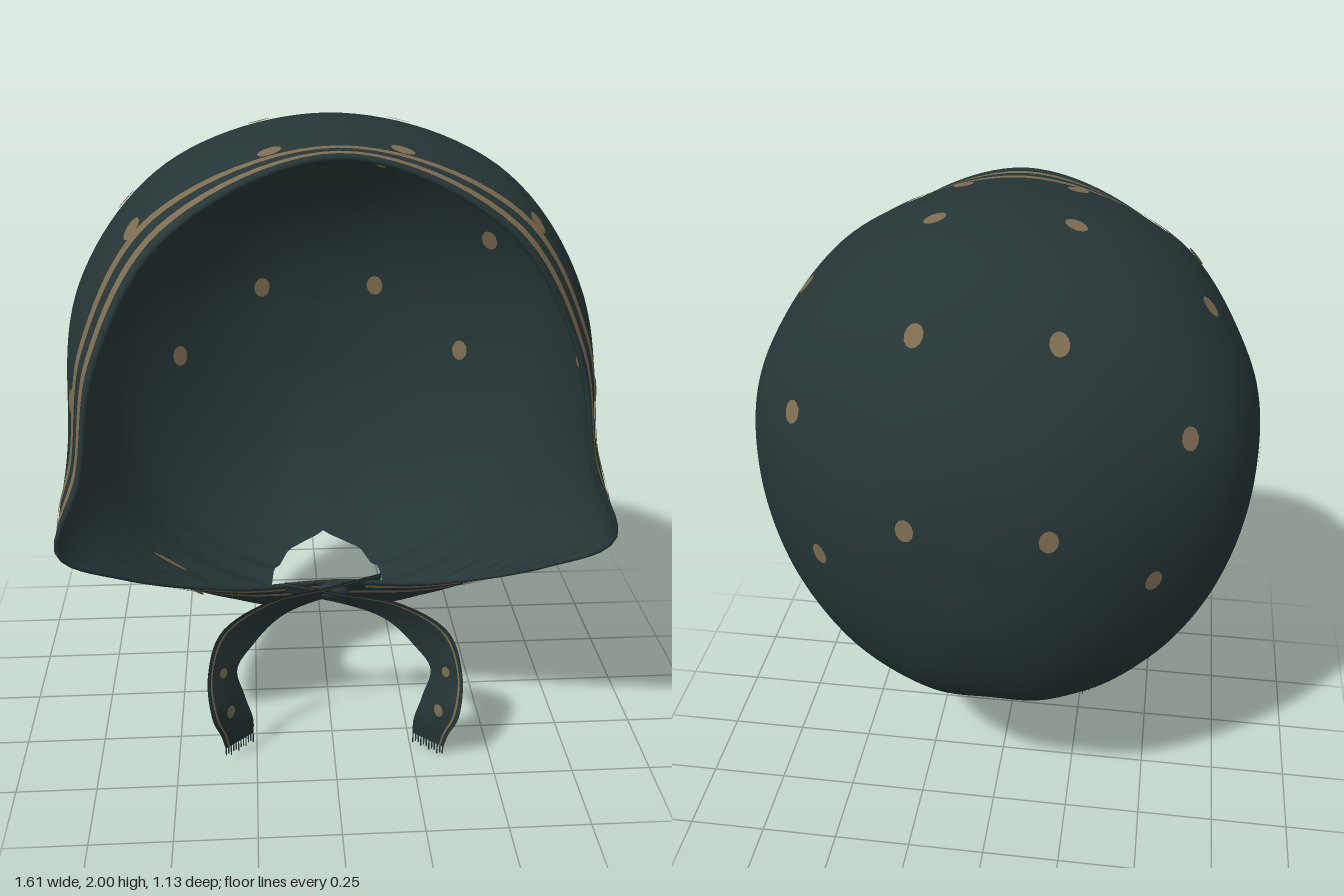
import * as THREE from 'three';
import { mergeVertices } from 'three/addons/utils/BufferGeometryUtils.js';

const V = (x, y, z) => new THREE.Vector3(x, y, z);

// Half outlines of the cloth from the face opening to the back, each from chin to crown
const RINGS = [
  [[0, .59, .28], [.3, .61, .34], [.62, .74, .48], [.79, .87, .56], [.72, 1.08, .54], [.66, 1.4, .52], [.45, 1.76, .52], [0, 1.96, .52]],
  [[0, .52, .24], [.28, .54, .27], [.6, .68, .36], [.79, .86, .4], [.76, 1.12, .38], [.71, 1.45, .38], [.5, 1.8, .38], [0, 1.97, .38]],
  [[0, .45, .15], [.2, .45, .15], [.55, .62, .15], [.72, .85, .12], [.78, 1.2, .1], [.73, 1.53, .1], [.47, 1.86, .1], [0, 2, .13]],
  [[0, .44, -.18], [.2, .45, -.18], [.45, .6, -.2], [.63, .86, -.2], [.71, 1.22, -.2], [.66, 1.53, -.2], [.4, 1.81, -.2], [0, 1.92, -.2]],
  [[0, .6, -.39], [.15, .62, -.4], [.28, .74, -.42], [.4, .95, -.43], [.46, 1.22, -.43], [.42, 1.42, -.43], [.25, 1.6, -.44], [0, 1.66, -.44]],
].map((half) => {
  const left = half.map((p) => V(...p));
  const right = half.slice(1, 7).reverse().map(([x, y, z]) => V(-x, y, z));
  return new THREE.CatmullRomCurve3([...left, ...right], true);
});
const POLE = V(0, 1.24, -.565);

// Point on the cloth: u = 0 at the opening to 6 at the back, k = 0..1 around from the chin
function clothPoint(u, k) {
  const open = u > 1.2 && u < 3.3 ? Math.sqrt(Math.sin(Math.PI * (u - 1.2) / 2.1)) : 0; // neck hole
  const t = open + (14 - 2 * open) * k;
  const ps = RINGS.map((r) => r.getPoint((t / 14) % 1));
  const inner = POLE.clone().lerp(ps[4], .5);
  inner.z = -.535;
  const p = new THREE.CatmullRomCurve3([...ps, inner, POLE]).getPoint(Math.min(u / 6, 1));
  const fromChin = Math.min(t, 14 - t); // gathered pleats around the neck
  p.y += .014 * open * Math.exp(-((fromChin - 1) ** 2)) * Math.sin(u * 17);
  return p;
}

// Grid surface from a point rule, optionally lifted along its normals
function sheet(fn, m, n, lift = 0) {
  const pos = [], index = [];
  for (let i = 0; i <= m; i++) for (let j = 0; j <= n; j++) pos.push(...fn(i / m, j / n).toArray());
  for (let i = 0; i < m; i++) for (let j = 0; j < n; j++) {
    const a = i * (n + 1) + j, b = a + n + 1;
    index.push(a, b, a + 1, b, b + 1, a + 1);
  }
  let g = new THREE.BufferGeometry();
  g.setAttribute('position', new THREE.Float32BufferAttribute(pos, 3));
  g.setIndex(index);
  g = mergeVertices(g, 1e-5);
  g.computeVertexNormals();
  if (lift) {
    const p = g.attributes.position, nn = g.attributes.normal;
    for (let i = 0; i < p.count; i++) {
      p.setXYZ(i, p.getX(i) + nn.getX(i) * lift, p.getY(i) + nn.getY(i) * lift, p.getZ(i) + nn.getZ(i) * lift);
    }
  }
  return g;
}

// Closest vertex of a geometry and its normal
function nearest(g, target) {
  const p = g.attributes.position, v = V(), best = V();
  let bi = 0, bd = Infinity;
  for (let i = 0; i < p.count; i++) {
    const d = v.fromBufferAttribute(p, i).distanceToSquared(target);
    if (d < bd) { bd = d; bi = i; best.copy(v); }
  }
  return { point: best, normal: V().fromBufferAttribute(g.attributes.normal, bi).normalize() };
}

export function createModel() {
  const root = new THREE.Group();
  const cloth = new THREE.MeshStandardMaterial({ color: 0x263536, side: THREE.DoubleSide });
  cloth.name = 'dark teal cloth';
  const tan = new THREE.MeshStandardMaterial({ color: 0x7d6c50, side: THREE.DoubleSide });
  tan.name = 'tan print';
  const add = (geometry, material, name, parent = root) => {
    const mesh = new THREE.Mesh(geometry, material);
    mesh.name = name;
    parent.add(mesh);
    return mesh;
  };

  // Hood
  const hood = sheet((a, k) => clothPoint(a * 6, k), 84, 140);
  add(hood, cloth, 'hood');

  // Rolled hem around the face
  const hemPath = new THREE.CatmullRomCurve3(Array.from({ length: 60 }, (_, i) => clothPoint(0, i / 60)), true);
  add(new THREE.TubeGeometry(hemPath, 140, .008, 6, true), cloth, 'hem');

  // Two printed stripes behind the hem
  for (const u of [.27, .66]) {
    add(sheet((a, k) => clothPoint(u + (a - .5) * .17, k), 3, 140, .004), tan, 'stripe');
  }

  // Printed dots, shown on both faces of the cloth
  function dot(g, target, rx, ry, name) {
    const { point, normal } = nearest(g, target);
    const centre = target.clone().addScaledVector(normal, -target.clone().sub(point).dot(normal));
    for (const s of [1, -1]) {
      const mesh = add(new THREE.CircleGeometry(1, 12), tan, name);
      mesh.scale.set(rx, ry, 1);
      mesh.position.copy(centre).addScaledVector(normal, s * .004);
      mesh.lookAt(mesh.position.clone().add(normal));
    }
  }
  const dots = [
    [.2, 1.3, -.55], [.2, 1.8, -.35], [.56, 1.52, -.32], [.49, 1.1, -.41],
    [.2, 1.97, .04], [.59, 1.75, .04], [.77, 1.25, .08],
    [.18, 1.97, .39], [.54, 1.75, .4], [.73, 1.27, .41],
  ];
  for (const s of [1, -1]) for (const [x, y, z] of dots) dot(hood, V(s * x, y, z), .028, .035, 'dot');
  // Dots drawn out by the gathers
  dot(hood, V(-.52, .58, .13), .012, .07, 'gatheredDot');
  dot(hood, V(-.42, .58, .27), .012, .06, 'gatheredDot');

  // Tie ribbons: centre line and half width
  const centre = [[-.15, .58, .28], [.02, .56, .32], [.18, .52, .34], [.3, .43, .36], [.35, .32, .385], [.335, .2, .395], [.31, .1, .37], [.305, .035, .35]];
  const half = [[0, .025, .01], [0, .03, .02], [.02, .045, .03], [.05, .04, .03], [.045, .01, .035], [.05, 0, .06], [.05, 0, .045], [.045, 0, .04]];
  for (const s of [1, -1]) {
    const path = new THREE.CatmullRomCurve3(centre.map(([x, y, z]) => V(s * x, y + (s < 0 ? .015 : 0), z + (s > 0 ? .012 : 0))));
    const width = new THREE.CatmullRomCurve3(half.map(([x, y, z]) => V(s * x, y, z)));
    const at = (a, w) => path.getPoint(a).addScaledVector(width.getPoint(a), w);
    const side = s > 0 ? 'left' : 'right';
    const ribbon = sheet((a, k) => at(a, k * 2 - 1), 48, 6);
    add(ribbon, cloth, side + 'Ribbon');
    for (const lift of [.003, -.003]) {
      add(sheet((a, k) => at(a, .72 + k * .1), 48, 1, lift), tan, side + 'RibbonStripe');
    }
    dot(ribbon, at(.57, 0), .014, .018, side + 'RibbonDot');
    dot(ribbon, at(.74, 0), .018, .022, side + 'RibbonDot');
    // Frayed end
    for (let i = 0; i < 12; i++) {
      const p = at(1, -.96 + i * 1.92 / 11);
      const length = .026 + .009 * (i % 3 === 0);
      const thread = add(new THREE.BoxGeometry(.004, length, .004), cloth, side + 'Fringe');
      thread.position.set(p.x, p.y - length / 2, p.z);
    }
  }

  // Knot under the chin
  const knot = add(new THREE.SphereGeometry(.04, 16, 10), cloth, 'knot');
  knot.scale.set(1.2, .7, .8);
  knot.position.set(0, .57, .3);

  return root;
}
